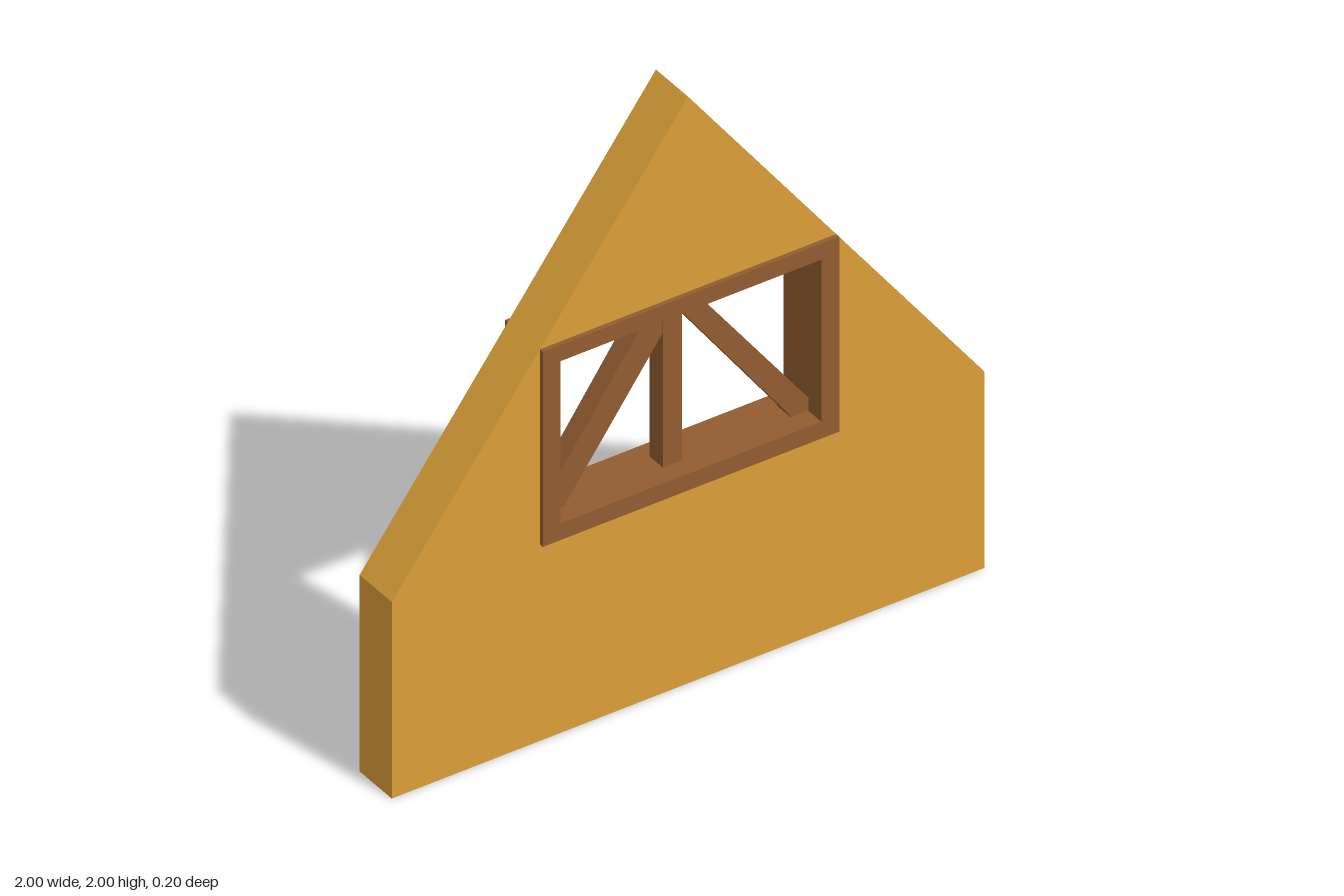
import * as THREE from 'three';
import { RoundedBoxGeometry } from 'three/addons/geometries/RoundedBoxGeometry.js';

const wallMat = new THREE.MeshStandardMaterial({ name: 'ochre wall', color: 0xdb9f38 });
const woodMat = new THREE.MeshStandardMaterial({ name: 'brown timber', color: 0x925c30 });
const blackMat = new THREE.MeshStandardMaterial({ name: 'black', color: 0x0a0a0a });

function outline(points, Type = THREE.Shape) {
  return new Type(points.map(([x, y]) => new THREE.Vector2(x, y)));
}

function rect(x0, x1, y0, y1, Type) {
  return outline([[x0, y0], [x1, y0], [x1, y1], [x0, y1]], Type);
}

// Flat extrusion spanning z0 to z1
function slab(name, shape, z0, z1, material) {
  const geometry = new THREE.ExtrudeGeometry(shape, { depth: z1 - z0, bevelEnabled: false });
  geometry.translate(0, 0, z0);
  const mesh = new THREE.Mesh(geometry, material);
  mesh.name = name;
  return mesh;
}

export function createModel() {
  const group = new THREE.Group();
  group.name = 'gableWall';

  // Gabled wall with the window opening
  const wall = outline([[-1, 0], [1, 0], [1, 0.67], [0, 2], [-1, 0.67]]);
  wall.holes.push(rect(-0.48, 0.48, 0.69, 1.315, THREE.Path));
  group.add(slab('wall', wall, -0.075, 0.085, wallMat));

  // Window frame, standing slightly proud on both faces
  const frame = rect(-0.5, 0.5, 0.67, 1.335);
  frame.holes.push(rect(-0.44, 0.44, 0.727, 1.28, THREE.Path));
  group.add(slab('windowFrame', frame, -0.088, 0.1, woodMat));

  // Central post and two diagonal braces
  group.add(slab('centrePost', rect(-0.052, 0.012, 0.71, 1.29), -0.03, 0.036, woodMat));
  const braces = {
    leftBrace: [[0.45, 0.727], [0.445, 0.765], [0.055, 1.285], [0, 1.285], [0, 1.25], [0.375, 0.74], [0.385, 0.72]],
    rightBrace: [[-0.45, 0.727], [-0.385, 0.72], [-0.375, 0.74], [-0.03, 1.215], [-0.03, 1.285], [-0.09, 1.285], [-0.445, 0.78]],
  };
  for (const [name, points] of Object.entries(braces)) {
    group.add(slab(name, outline(points), -0.029, 0.035, woodMat));
  }

  // Rounded black pads on the back: x0, x1, y0, y1
  const pads = [
    [0.31, 0.53, 0.315, 0.475],
    [-0.06, 0.085, 0.24, 0.385],
    [-0.445, -0.36, 0.36, 0.6],
  ];
  pads.forEach(([x0, x1, y0, y1], i) => {
    const pad = new THREE.Mesh(new RoundedBoxGeometry(x1 - x0, y1 - y0, 0.08, 3, 0.02), blackMat);
    pad.position.set((x0 + x1) / 2, (y0 + y1) / 2, -0.063);
    pad.name = `backPad${i + 1}`;
    group.add(pad);
  });

  return group;
}
